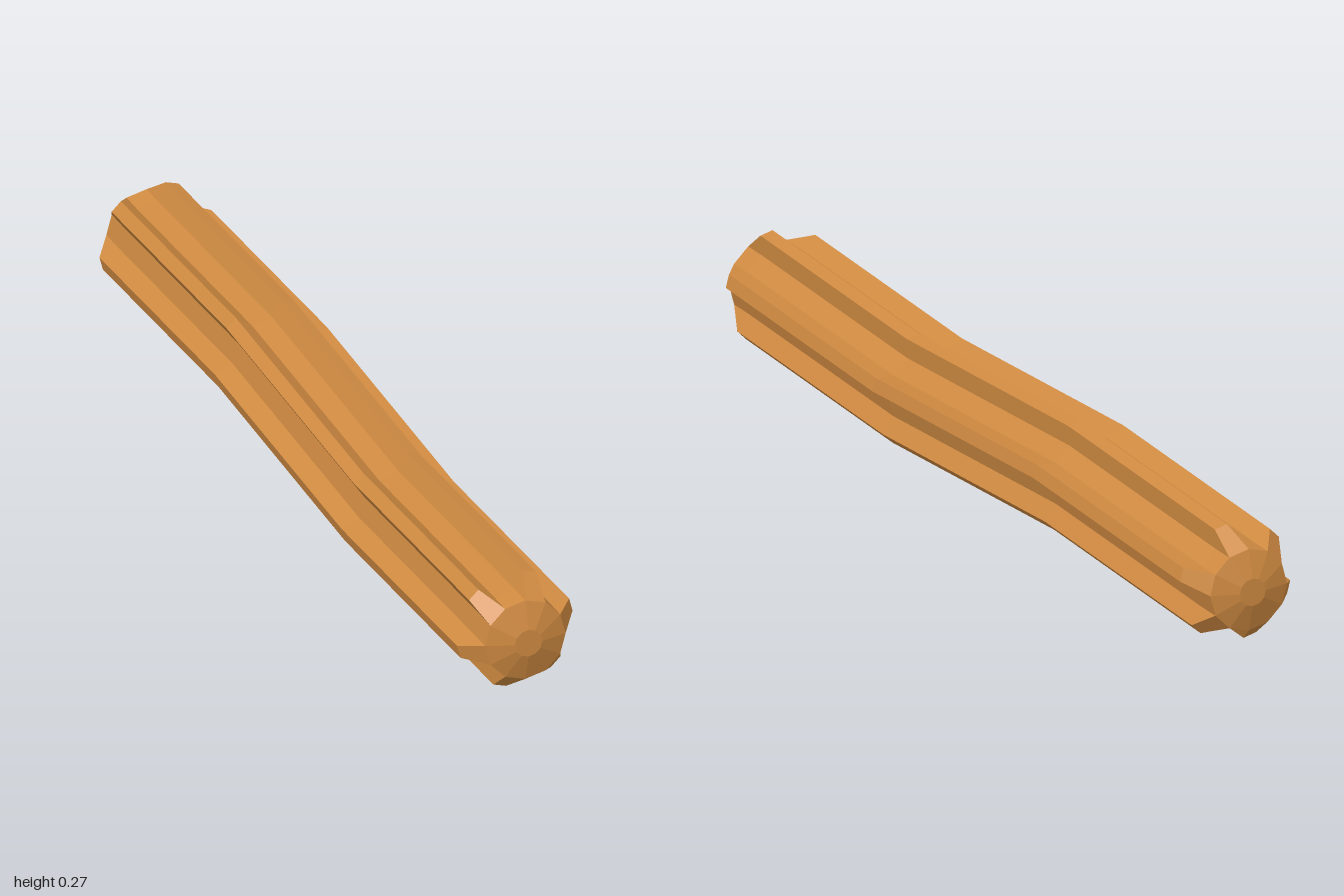
import * as THREE from 'three';

const CORE = 0.081, TIP = 0.1175, RIDGES = 6;
const rad = THREE.MathUtils.degToRad;

// Fluted outline: each ridge has two base and two tip corners.
// With flush = true the tips fall back onto the base corners (plain 12-gon).
function section(z, y, scale = 1, flush = false) {
  const pts = [];
  for (let k = 0; k < RIDGES; k++) {
    const mid = 15 + k * 60;
    for (const [base, tip, r] of [[-15, -15, CORE], [-15, -6.5, TIP], [15, 6.5, TIP], [15, 15, CORE]]) {
      const a = rad(mid + (flush ? base : tip));
      const d = (flush ? CORE : r) * scale;
      pts.push(new THREE.Vector3(Math.cos(a) * d, y + Math.sin(a) * d, z));
    }
  }
  return pts;
}

// Faces between neighbouring sections, plus a flat disc on each end
function loft(sections) {
  const pos = [];
  const tri = (a, b, c) => {
    const area = b.clone().sub(a).cross(c.clone().sub(a)).length();
    if (area > 1e-8) pos.push(...a.toArray(), ...b.toArray(), ...c.toArray());
  };
  const n = sections[0].length;
  for (let i = 0; i < sections.length - 1; i++) {
    const p = sections[i], q = sections[i + 1];
    for (let j = 0; j < n; j++) {
      const k = (j + 1) % n;
      tri(p[j], q[j], p[k]);
      tri(p[k], q[j], q[k]);
    }
  }
  const first = sections[0], last = sections[sections.length - 1];
  for (let j = 1; j < n - 1; j++) {
    tri(first[0], first[j], first[j + 1]);
    tri(last[0], last[j + 1], last[j]);
  }
  const geo = new THREE.BufferGeometry();
  geo.setAttribute('position', new THREE.Float32BufferAttribute(pos, 3));
  geo.computeVertexNormals();
  return geo;
}

export function createModel() {
  const group = new THREE.Group();
  group.name = 'flutedStick';
  const golden = new THREE.MeshStandardMaterial({ color: 0xcf8a41 });
  golden.name = 'golden brown';

  // Gently waved body with bevelled ridge ends and shallow domed tips
  const body = new THREE.Mesh(loft([
    section(1, 0.134, 0.34, true),
    section(0.983, 0.134, 1, true),
    section(0.928, 0.134),
    section(0.33, 0.117),
    section(-0.33, 0.152),
    section(-0.928, 0.135),
    section(-0.983, 0.135, 1, true),
    section(-1, 0.135, 0.34, true),
  ]), golden);
  body.name = 'ridgedBody';
  group.add(body);
  return group;
}
